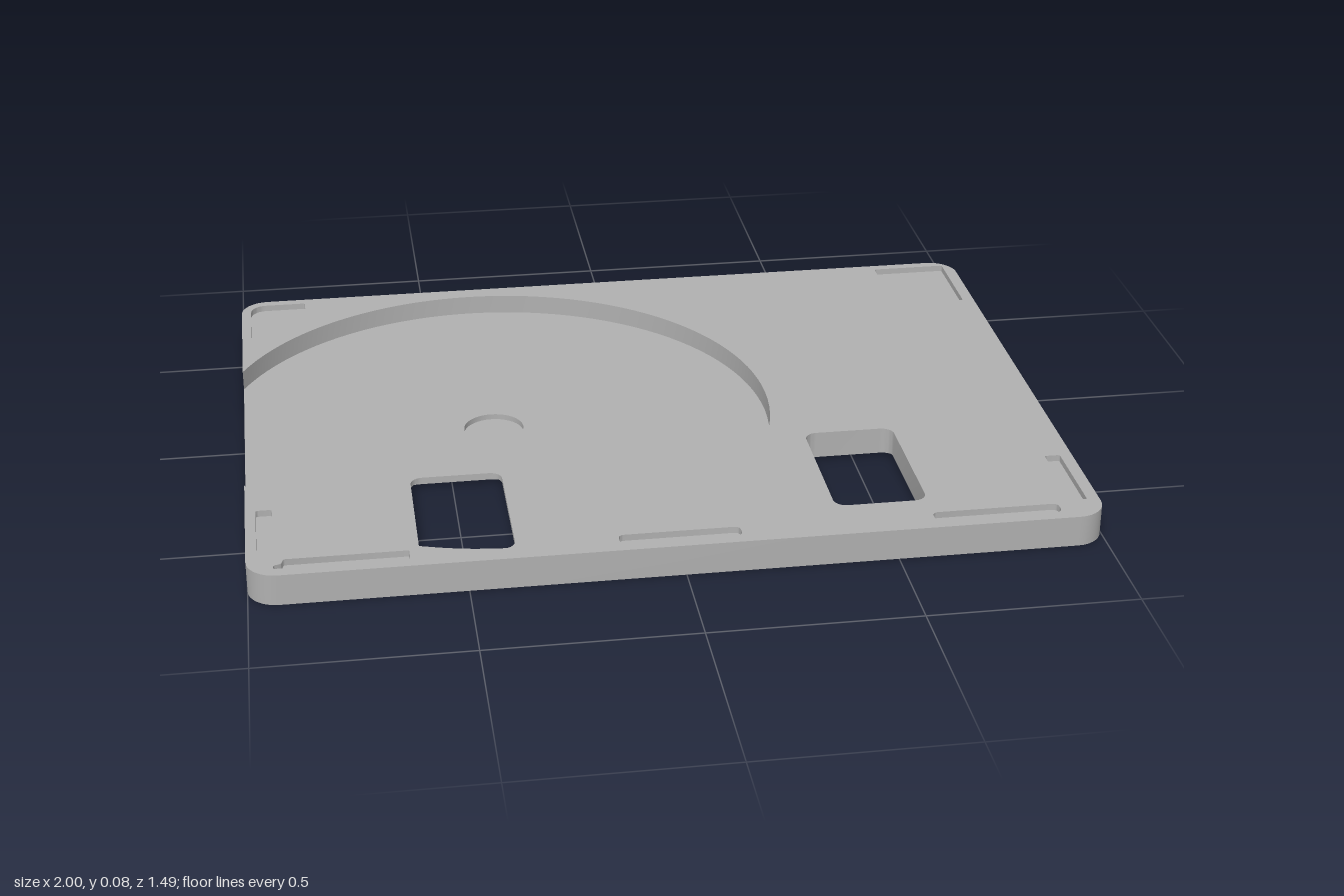
import * as THREE from 'three';
import { mergeGeometries, toCreasedNormals } from 'three/addons/utils/BufferGeometryUtils.js';

// Heights of the tray's levels
const TOP = 0.077, FLOOR = 0.027, LEDGE = 0.013, HUB = 0.013, SLOT = 0.061;
// Disc well centre and radius, half depth of the plate, corner radius
const CX = -0.375, R = 0.698, D = 0.745, CORNER = 0.07;

const V = (x, z) => new THREE.Vector2(x, -z);

// Rounded polygon from [x, z] corners; an optional third entry overrides the corner radius
function roundedLoop(corners, radius, open = false) {
  const path = new THREE.Path();
  const n = corners.length;
  corners.forEach(([x, z, own], i) => {
    const p = V(x, z);
    const r = own ?? radius;
    const isEnd = open && (i === 0 || i === n - 1);
    const toward = (j) => {
      const q = V(corners[(j + n) % n][0], corners[(j + n) % n][1]);
      const len = p.distanceTo(q);
      return p.clone().lerp(q, Math.min(r / len, 0.49));
    };
    const a = isEnd ? p : toward(i - 1), b = isEnd ? p : toward(i + 1);
    if (i === 0) path.moveTo(a.x, a.y);
    else path.lineTo(a.x, a.y);
    if (!isEnd && r > 0) {
      const c = a.clone().lerp(p, 0.55), d = b.clone().lerp(p, 0.55);
      path.bezierCurveTo(c.x, c.y, d.x, d.y, b.x, b.y);
    }
  });
  const pts = path.getPoints(8).filter((p, i, all) => i === 0 || p.distanceTo(all[i - 1]) > 1e-5);
  if (!open && pts[0].distanceTo(pts[pts.length - 1]) < 1e-5) pts.pop();
  return pts;
}

const box = (x0, x1, z0, z1, r) => roundedLoop([[x0, z1], [x1, z1], [x1, z0], [x0, z0]], r);

function arc(radius, from, to, steps) {
  return Array.from({ length: steps + 1 }, (_, i) => {
    const a = from + (to - from) * i / steps;
    return new THREE.Vector2(CX + radius * Math.cos(a), radius * Math.sin(a));
  });
}

// Horizontal face with holes, facing up or down
function face(outline, holes, y, down = false) {
  const shape = new THREE.Shape(outline);
  shape.holes = holes.map((h) => new THREE.Path(h));
  const g = new THREE.ShapeGeometry(shape).toNonIndexed();
  g.deleteAttribute('uv');
  g.rotateX(-Math.PI / 2).translate(0, y, 0);
  if (down) {
    const p = g.attributes.position;
    for (let i = 0; i < p.count; i += 3) {
      const a = new THREE.Vector3().fromBufferAttribute(p, i + 1);
      const b = new THREE.Vector3().fromBufferAttribute(p, i + 2);
      p.setXYZ(i + 1, b.x, b.y, b.z);
      p.setXYZ(i + 2, a.x, a.y, a.z);
    }
    g.computeVertexNormals();
  }
  return g;
}

// Vertical wall along a path, visible from the right of its direction
function wall(pts, y0, y1, closed) {
  const pos = [];
  const count = closed ? pts.length : pts.length - 1;
  for (let i = 0; i < count; i++) {
    const a = pts[i], b = pts[(i + 1) % pts.length];
    pos.push(a.x, y0, -a.y, b.x, y0, -b.y, b.x, y1, -b.y);
    pos.push(a.x, y0, -a.y, b.x, y1, -b.y, a.x, y1, -a.y);
  }
  const g = new THREE.BufferGeometry();
  g.setAttribute('position', new THREE.Float32BufferAttribute(pos, 3));
  g.computeVertexNormals();
  return toCreasedNormals(g, 0.6);
}

// Wall of a closed pocket, facing its inside
function pocketWall(loop, y0, y1) {
  const pts = THREE.ShapeUtils.isClockWise(loop) ? loop : loop.slice().reverse();
  return wall(pts, y0, y1, true);
}

export function createModel() {
  const group = new THREE.Group();
  const grey = new THREE.MeshStandardMaterial({ color: 0xb0b0b0 });
  grey.name = 'plain grey';
  const add = (name, ...parts) => {
    const mesh = new THREE.Mesh(mergeGeometries(parts), grey);
    mesh.name = name;
    group.add(mesh);
  };

  // Where the disc well breaks through the side
  const zc = Math.sqrt(R * R - (1 + CX) ** 2);
  const angle = Math.atan2(zc, -1 - CX);
  const wellArc = arc(R, angle, -angle, 96);
  const rim = roundedLoop([[-1, zc], [-1, D], [1, D], [1, -D], [-1, -D], [-1, -zc]], CORNER, true);
  const hub = arc(0.075, 0, Math.PI * 2, 40).slice(0, -1);

  // Windows, each with a slightly wider recess underneath
  const spans = [[-0.603, -0.38], [0.375, 0.597]];
  const windows = spans.map(([a, b]) => box(a, b, 0.24, 0.612, 0.03));
  const recesses = spans.map(([a, b]) => box(a - 0.017, b + 0.017, 0.223, 0.629, 0.04));

  // Shallow slots around the border
  const slots = [
    roundedLoop([[-0.975, -0.512], [-0.935, -0.512], [-0.935, -0.68], [-0.828, -0.68],
      [-0.828, -0.72], [-0.975, -0.72, 0.04]], 0.006),
    roundedLoop([[0.97, -0.482], [0.932, -0.482], [0.932, -0.68], [0.775, -0.68],
      [0.775, -0.72], [0.97, -0.72]], 0.006),
    box(-0.975, -0.937, 0.44, 0.63, 0.006),
    roundedLoop([[0.932, 0.44], [0.97, 0.44], [0.97, 0.665], [0.932, 0.65]], 0.006),
    roundedLoop([[-0.938, 0.715], [-0.63, 0.715], [-0.63, 0.675], [-0.915, 0.675], [-0.92, 0.695],
      [-0.938, 0.7]], 0.005),
    box(-0.15, 0.135, 0.675, 0.715, 0.014),
    box(0.592, 0.895, 0.675, 0.715, 0.014),
  ];

  add('topSurface', face([...rim, ...wellArc.slice(1, -1)], [windows[1], ...slots], TOP));
  add('outerWall', wall(rim, 0, TOP, false),
    wall([V(-1, -zc), V(-1, zc)], 0, FLOOR, false));
  add('discWell', face(wellArc, [hub, windows[0]], FLOOR), wall(wellArc, FLOOR, TOP, false));
  add('hubRecess', face(hub, [], HUB), pocketWall(hub, HUB, FLOOR));
  add('underside', face(box(-1, 1, -D, D, CORNER), recesses, 0, true));

  windows.forEach((w, i) => add(i ? 'leftWindow' : 'rightWindow',
    pocketWall(w, LEDGE, i ? TOP : FLOOR),
    face(recesses[i], [w], LEDGE, true),
    pocketWall(recesses[i], 0, LEDGE)));

  slots.forEach((s, i) => add(`borderSlot${i + 1}`, face(s, [], SLOT), pocketWall(s, SLOT, TOP)));
  return group;
}
